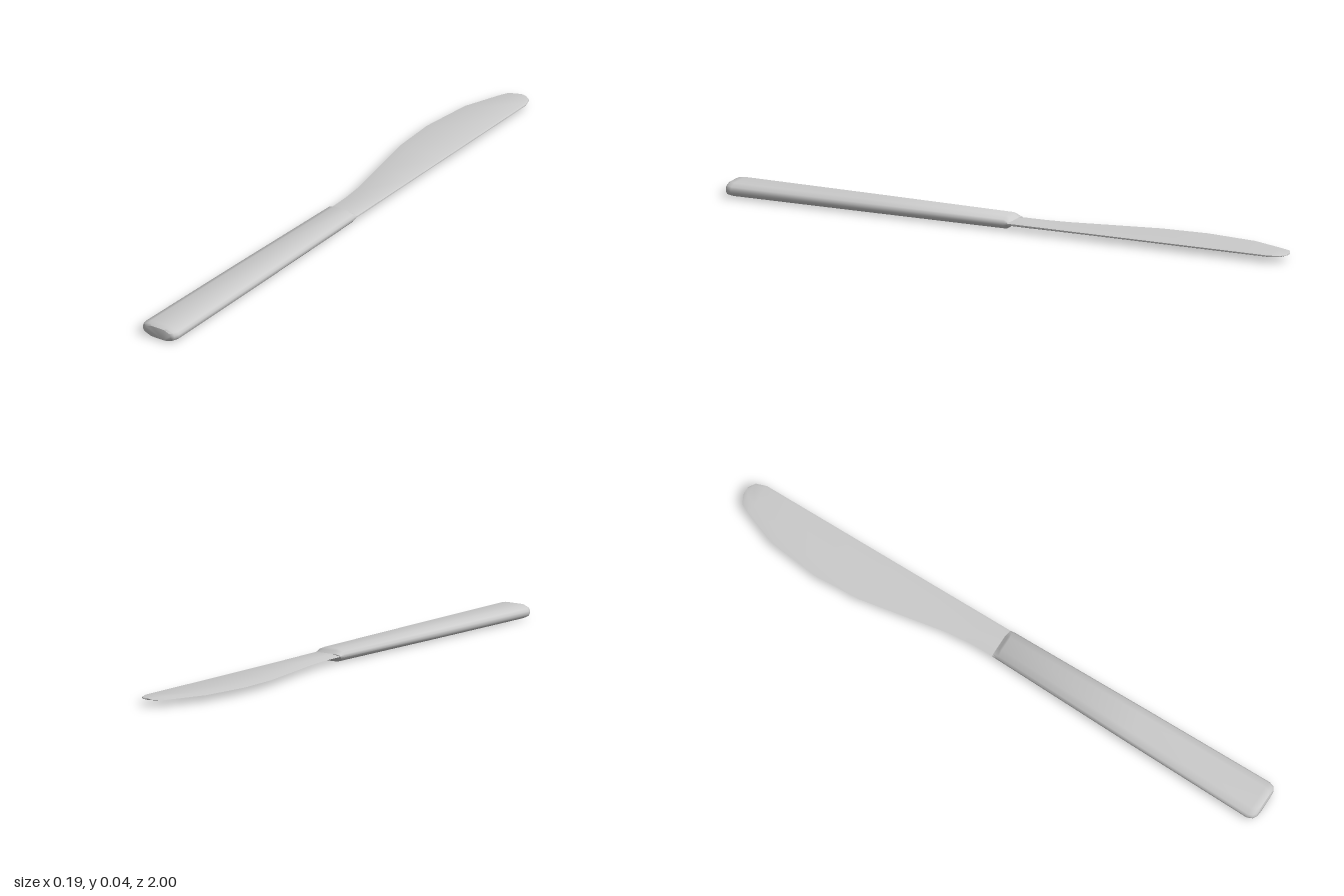
import * as THREE from 'three';
import { toCreasedNormals } from 'three/addons/utils/BufferGeometryUtils.js';

const MID_Y = 0.022;

// Skins a list of cross-sections running from front (+z) to back, with flat caps.
// Each section is { z, points: [[x, y], ...] } wound counter-clockwise seen from +z.
function loft(sections, crease) {
  const n = sections[0].points.length;
  const positions = [];
  const index = [];
  for (const { z, points } of sections) {
    for (const [x, y] of points) positions.push(x, y, z);
  }
  for (let i = 0; i < sections.length - 1; i++) {
    for (let j = 0; j < n; j++) {
      const k = (j + 1) % n;
      const a = i * n + j, b = i * n + k, c = a + n, d = b + n;
      index.push(a, c, b, b, c, d);
    }
  }
  const last = (sections.length - 1) * n;
  for (let j = 1; j < n - 1; j++) {
    index.push(0, j, j + 1);
    index.push(last, last + j + 1, last + j);
  }
  const geometry = new THREE.BufferGeometry();
  geometry.setAttribute('position', new THREE.Float32BufferAttribute(positions, 3));
  geometry.setIndex(index);
  return toCreasedNormals(geometry, crease);
}

// Flat-topped handle section with rounded sides; h is the half height
function handleSection([z, left, right, h]) {
  const corner = [[0, 0.22], [0.006, 0.6], [0.028, 1]]; // inset, share of h
  const back = [...corner].reverse();
  const points = [
    ...back.map(([d, s]) => [right - d, -s * h]),
    ...corner.map(([d, s]) => [right - d, s * h]),
    ...back.map(([d, s]) => [left + d, s * h]),
    ...corner.map(([d, s]) => [left + d, -s * h]),
  ];
  return { z, points: points.map(([x, y]) => [x, y + MID_Y]) };
}

// Blade section: sharp cutting edge on the left, thin bevelled spine on the right
function bladeSection([z, left, right, h]) {
  const width = right - left;
  const edge = Math.min(0.035, width * 0.4);
  const spine = Math.min(0.008, width * 0.3);
  const points = [
    [left, 0],
    [left + edge, -h], [right - spine, -h],
    [right, -h * 0.4], [right, h * 0.4],
    [right - spine, h], [left + edge, h],
  ];
  return { z, points: points.map(([x, y]) => [x, y + MID_Y]) };
}

export function createModel() {
  const group = new THREE.Group();
  group.name = 'tableKnife';
  const material = new THREE.MeshStandardMaterial({ color: 0xcccccc });

  // Handle: z, left, right, half height
  const handle = new THREE.Mesh(loft([
    [1, -0.028, 0.076, 0.019],
    [0.993, -0.04, 0.086, 0.022],
    [0.975, -0.048, 0.092, 0.022],
    [0.5, -0.036, 0.09, 0.022],
    [0, -0.02, 0.086, 0.022],
    [-0.008, -0.02, 0.085, 0.015],
    [-0.02, -0.02, 0.085, 0.006],
  ].map(handleSection), 0.9), material);
  handle.name = 'handle';
  group.add(handle);

  // Blade: z, cutting edge, spine, half thickness
  const blade = new THREE.Mesh(loft([
    [0.01, -0.019, 0.085, 0.006],
    [-0.1, -0.021, 0.085, 0.006],
    [-0.18, -0.028, 0.085, 0.0055],
    [-0.32, -0.054, 0.085, 0.005],
    [-0.49, -0.085, 0.085, 0.005],
    [-0.65, -0.093, 0.085, 0.005],
    [-0.83, -0.072, 0.085, 0.005],
    [-0.95, -0.026, 0.085, 0.005],
    [-0.985, -0.01, 0.073, 0.004],
    [-1, 0.022, 0.05, 0.002],
  ].map(bladeSection), 0.6), material);
  blade.name = 'blade';
  group.add(blade);

  return group;
}
